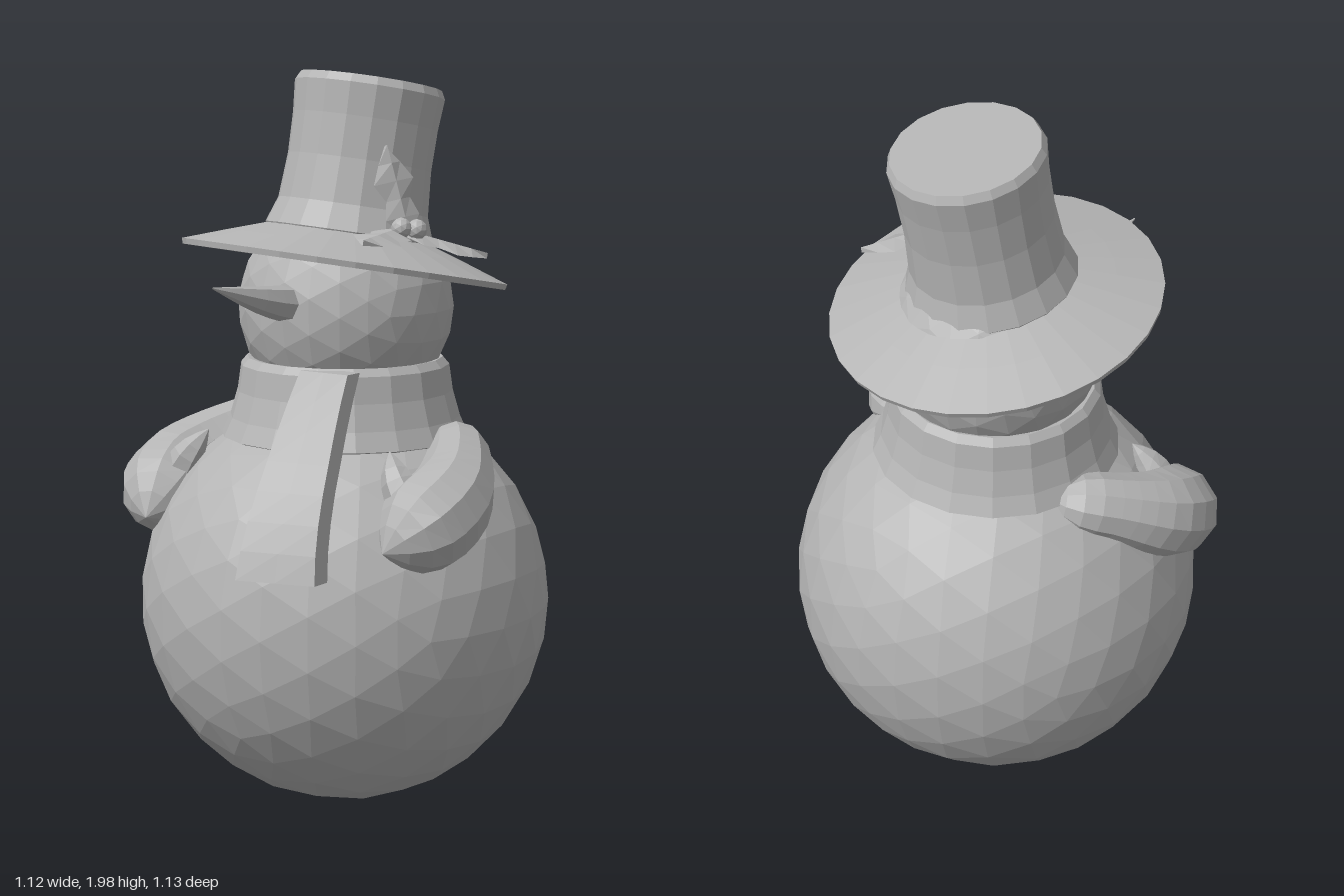
import * as THREE from 'three';

const V = (x, y, z) => new THREE.Vector3(x, y, z);

// Moves every vertex of a geometry by a rule taking its position and uv
function reshape(geometry, rule) {
  const p = geometry.attributes.position, uv = geometry.attributes.uv, v = V(0, 0, 0);
  for (let i = 0; i < p.count; i++) {
    v.fromBufferAttribute(p, i);
    rule(v, uv.getX(i), uv.getY(i));
    p.setXYZ(i, v.x, v.y, v.z);
  }
  geometry.computeVertexNormals();
  return geometry;
}

// Piecewise linear lookup in evenly spaced values
function sample(values, t) {
  const f = t * (values.length - 1), i = Math.min(Math.floor(f), values.length - 2);
  return THREE.MathUtils.lerp(values[i], values[i + 1], f - i);
}

// Tube along a curve whose radius varies
function taperedTube(points, radii, steps, sides) {
  const curve = new THREE.CatmullRomCurve3(points);
  return reshape(new THREE.TubeGeometry(curve, steps, 1, sides), (v, t) => {
    const c = curve.getPointAt(t);
    v.sub(c).multiplyScalar(sample(radii, t)).add(c);
  });
}

// Folded leaf with a spiky outline, running from a to b
function leafGeometry(a, b, up, width) {
  const along = b.clone().sub(a);
  const side = along.clone().cross(up).normalize();
  const outline = [0.12, 0.85, 0.6, 1, 0.55, 0];
  return reshape(new THREE.PlaneGeometry(1, 1, 2, 5), (v, u, t) => {
    const s = (u - 0.5) * 2;
    v.copy(a).addScaledVector(along, t)
      .addScaledVector(side, s * width * sample(outline, t))
      .addScaledVector(up, (1 - Math.abs(s)) * 0.015);
  });
}

function lathe(profile, sides) {
  return new THREE.LatheGeometry(profile.map(([r, y]) => new THREE.Vector2(r, y)), sides);
}

export function createModel() {
  const model = new THREE.Group();
  model.name = 'snowman';
  const grey = new THREE.MeshStandardMaterial({ color: 0xb4b4b4, flatShading: true, side: THREE.DoubleSide });
  grey.name = 'plain grey';
  const add = (name, geometry, parent = model) => {
    const mesh = new THREE.Mesh(geometry, grey);
    mesh.name = name;
    parent.add(mesh);
    return mesh;
  };

  // Snowballs
  add('body', new THREE.IcosahedronGeometry(0.557, 4)).position.set(0, 0.565, 0);
  add('head', new THREE.IcosahedronGeometry(0.29, 3)).position.set(0, 1.365, -0.005);

  // Carrot nose
  add('nose', taperedTube([V(0, 1.385, 0.2), V(0, 1.41, 0.35), V(-0.01, 1.462, 0.56)],
    [0.055, 0.047, 0.035, 0.02, 0.002], 6, 7));

  // Scarf wrapped around the neck
  add('scarf', lathe([[0.2, 0.97], [0.335, 1.02], [0.312, 1.07], [0.292, 1.14],
    [0.282, 1.21], [0.265, 1.23], [0.2, 1.22]], 18));

  // Hanging scarf end, following the curve of the chest
  const fall = [0.245, 0.315, 0.375, 0.435, 0.485, 0.515];
  add('scarfEnd', reshape(new THREE.BoxGeometry(1, 1, 0.055, 2, 7, 1), (v) => {
    const t = 0.5 - v.y;
    const across = v.x;
    v.x = 0.125 + 0.04 * t + across * (0.15 + 0.055 * t);
    v.y = 1.225 - 0.5 * t;
    v.z += sample(fall, t) - 0.06 * across * t;
  }));

  // Arms with mittens and thumbs
  for (const [side, s] of [['left', 1], ['right', -1]]) {
    const arm = new THREE.Group();
    arm.name = side + 'Arm';
    model.add(arm);
    add(side + 'Mitten', taperedTube(
      [V(0.27 * s, 1.02, -0.1), V(0.37 * s, 0.985, 0.01), V(0.435 * s, 0.91, 0.15),
        V(0.42 * s, 0.845, 0.27), V(0.385 * s, 0.8, 0.385)],
      [0, 0.07, 0.085, 0.09, 0.1, 0.112, 0.123, 0.127, 0.12, 0.085, 0], 14, 10), arm);
    add(side + 'Thumb', taperedTube(
      [V(0.39 * s, 0.88, 0.25), V(0.34 * s, 0.96, 0.25), V(0.295 * s, 1.03, 0.22)],
      [0.05, 0.055, 0.045, 0.03, 0], 6, 7), arm);
  }

  // Top hat, tilted back and slightly to one side
  const hat = new THREE.Group();
  hat.name = 'hat';
  hat.position.set(0, 1.48, 0);
  hat.rotation.set(-0.17, 0, -0.055);
  model.add(hat);
  add('brim', lathe([[0.2, 0.05], [0.3, 0.03], [0.437, -0.012], [0.441, 0.003],
    [0.32, 0.045], [0.2, 0.085]], 28), hat);
  add('crown', lathe([[0, 0.03], [0.21, 0.05], [0.228, 0.08], [0.203, 0.15], [0.194, 0.27],
    [0.196, 0.38], [0.203, 0.465], [0.192, 0.487], [0, 0.485]], 18), hat);

  // Sprig on the hat
  const sprig = new THREE.Group();
  sprig.name = 'sprig';
  model.add(sprig);
  const up = V(0.2, 0.97, 0.05).normalize();
  add('frontLeaf', leafGeometry(V(0.22, 1.575, 0.07), V(0.245, 1.56, 0.27), up, 0.07), sprig);
  add('sideLeaf', leafGeometry(V(0.23, 1.57, 0.06), V(0.385, 1.505, -0.1), up, 0.06), sprig);
  add('upperLeaf', leafGeometry(V(0.24, 1.57, 0.06), V(0.175, 1.8, 0.07),
    V(0.85, 0.2, 0.45).normalize(), 0.06), sprig);
  for (const [x, y, z] of [[0.235, 1.59, 0.08], [0.26, 1.585, 0.045]]) {
    add('berry', new THREE.IcosahedronGeometry(0.028, 1), sprig).position.set(x, y, z);
  }

  return model;
}
